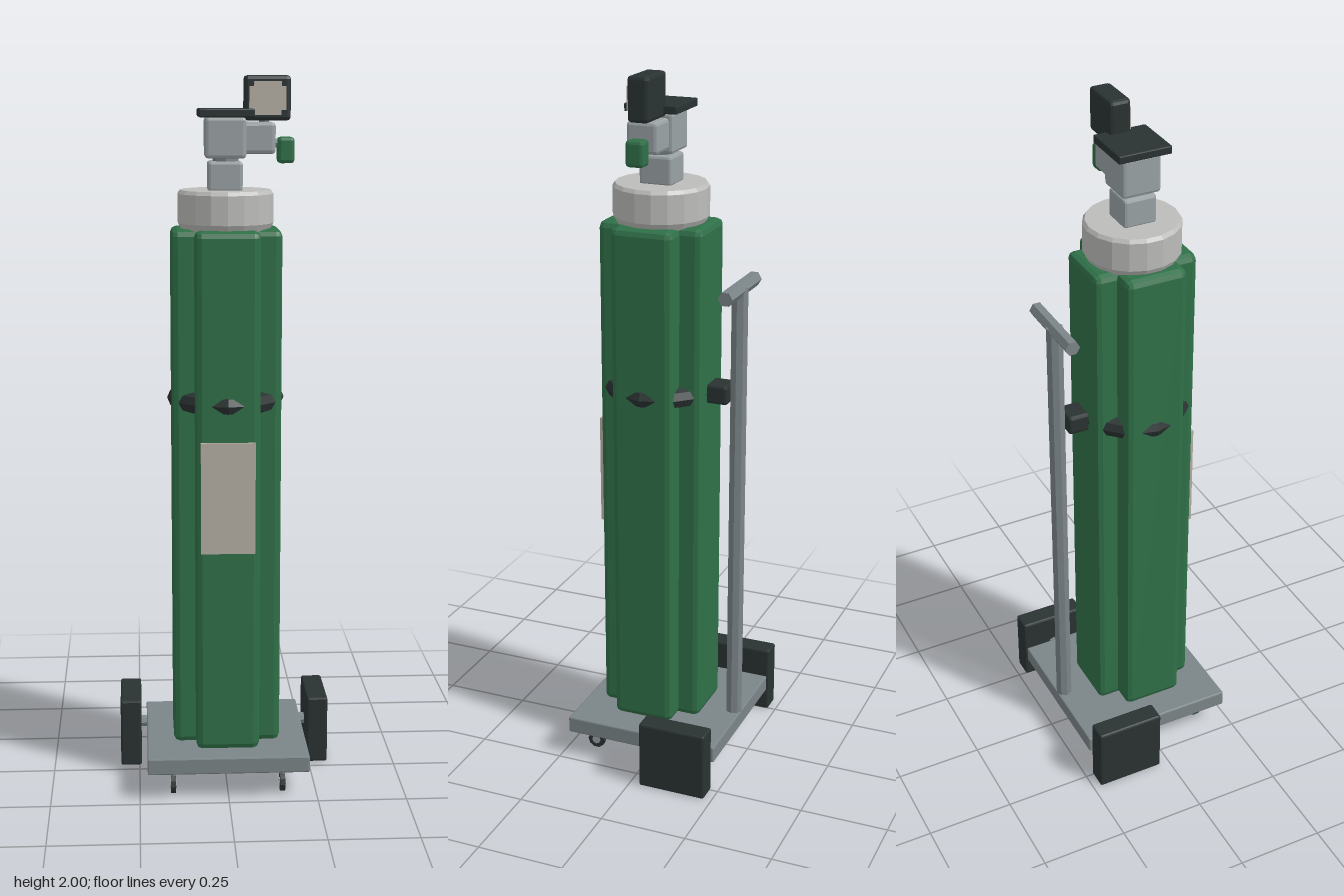
import * as THREE from 'three';
import { RoundedBoxGeometry } from 'three/addons/geometries/RoundedBoxGeometry.js';

const paint = (color) => new THREE.MeshStandardMaterial({ color, flatShading: true });

export function createModel() {
  const model = new THREE.Group();
  const green = paint(0x2f7048), dark = paint(0x2a3232), steel = paint(0x7b8588);
  const silver = paint(0x9aa2a4), white = paint(0xbcbcba), cream = paint(0xb5afa4);
  const cz = 0.025; // depth of the tank axis

  function add(name, geometry, material, x, y, z, parent = model) {
    const mesh = new THREE.Mesh(geometry, material);
    mesh.name = name;
    mesh.position.set(x, y, z);
    parent.add(mesh);
    return mesh;
  }
  // box given by its limits on each axis, with a chamfer
  function box(name, material, [x0, x1], [y0, y1], [z0, z1], bevel = 0.005, parent = model) {
    const w = x1 - x0, h = y1 - y0, d = z1 - z0;
    const geometry = bevel ? new RoundedBoxGeometry(w, h, d, 1, bevel) : new THREE.BoxGeometry(w, h, d);
    return add(name, geometry, material, (x0 + x1) / 2, (y0 + y1) / 2, (z0 + z1) / 2, parent);
  }

  // trolley base
  box('basePlate', steel, [-0.228, 0.228], [0.08, 0.128], [-0.228, 0.228], 0.004);
  const axle = add('axle', new THREE.CylinderGeometry(0.018, 0.018, 0.53, 8), steel, 0, 0.104, -0.129);
  axle.rotation.z = Math.PI / 2;

  for (const side of [-1, 1]) {
    const label = side > 0 ? 'left' : 'right';
    const xs = [side * 0.2745 - 0.0305, side * 0.2745 + 0.0305];
    box(label + 'RearWheel', dark, xs, [0.004, 0.204], [-0.228, -0.029], 0.006);

    // front caster
    const caster = new THREE.Group();
    caster.name = label + 'Caster';
    caster.position.set(side * 0.155, 0, 0.17);
    model.add(caster);
    const tyre = add('casterWheel', new THREE.CylinderGeometry(0.026, 0.026, 0.014, 10), dark, 0, 0.03, 0, caster);
    tyre.rotation.z = Math.PI / 2;
    const hub = add('casterHub', new THREE.CylinderGeometry(0.013, 0.013, 0.018, 8), silver, 0, 0.03, 0, caster);
    hub.rotation.z = Math.PI / 2;
    add('casterStem', new THREE.CylinderGeometry(0.008, 0.008, 0.035, 6), steel, 0, 0.068, 0, caster);
  }

  // tank: two crossed chamfered blocks
  const tankY = [0.13, 1.592];
  box('tankLengthwise', green, [-0.089, 0.089], tankY, [cz - 0.151, cz + 0.151], 0.018);
  box('tankCrosswise', green, [-0.151, 0.151], tankY, [cz - 0.089, cz + 0.089], 0.018);
  box('tankLabel', cream, [-0.075, 0.075], [0.708, 1.02], [cz + 0.145, cz + 0.158], 0);

  // strap and its bracket to the pole
  const strap = add('strap', new THREE.TorusGeometry(0.134, 0.029, 8, 12), dark, 0, 1.12, cz);
  strap.rotation.x = Math.PI / 2;
  box('poleBracket', dark, [-0.037, 0.037], [1.092, 1.147], [-0.184, -0.12], 0.008);

  // pole with a cross handle
  add('pole', new THREE.CylinderGeometry(0.024, 0.024, 1.3, 8), steel, 0, 0.775, -0.205);
  const handle = add('handle', new THREE.CylinderGeometry(0.021, 0.021, 0.23, 6), steel, 0, 1.42, -0.205);
  handle.rotation.z = Math.PI / 2;

  // collar
  const collar = [[0, 1.585], [0.121, 1.585], [0.132, 1.606], [0.132, 1.685], [0.125, 1.695], [0, 1.695]]
    .map(([r, y]) => new THREE.Vector2(r, y));
  add('collar', new THREE.LatheGeometry(collar, 18), white, 0, 0, cz);

  // valve
  box('valveNeck', silver, [-0.049, 0.045], [1.69, 1.772], [cz - 0.047, cz + 0.047], 0.008);
  add('valveThroat', new THREE.CylinderGeometry(0.035, 0.035, 0.04, 8), steel, 0, 1.775, cz);
  box('valveBody', silver, [-0.057, 0.054], [1.78, 1.89], [cz - 0.055, cz + 0.055], 0.009);
  box('valvePlate', dark, [-0.075, 0.075], [1.89, 1.912], [cz - 0.075, cz + 0.075], 0.003);
  box('outlet', silver, [0.045, 0.134], [1.792, 1.876], [cz - 0.044, cz + 0.044], 0.009);
  const knobStem = add('knobStem', new THREE.CylinderGeometry(0.012, 0.012, 0.04, 8), steel, 0.14, 1.82, cz);
  knobStem.rotation.z = Math.PI / 2;
  box('knob', green, [0.141, 0.187], [1.766, 1.836], [cz - 0.027, cz + 0.025], 0.009);

  // gauge with a notched dial
  add('gaugeStem', new THREE.CylinderGeometry(0.014, 0.014, 0.05, 8), steel, 0.105, 1.88, 0.02);
  box('gaugeCase', dark, [0.05, 0.176], [1.88, 2.0], [-0.013, 0.048], 0.01);
  box('gaugeDialWide', cream, [0.063, 0.163], [1.908, 1.972], [0.04, 0.053], 0);
  box('gaugeDialTall', cream, [0.076, 0.15], [1.895, 1.985], [0.04, 0.0525], 0);

  return model;
}
